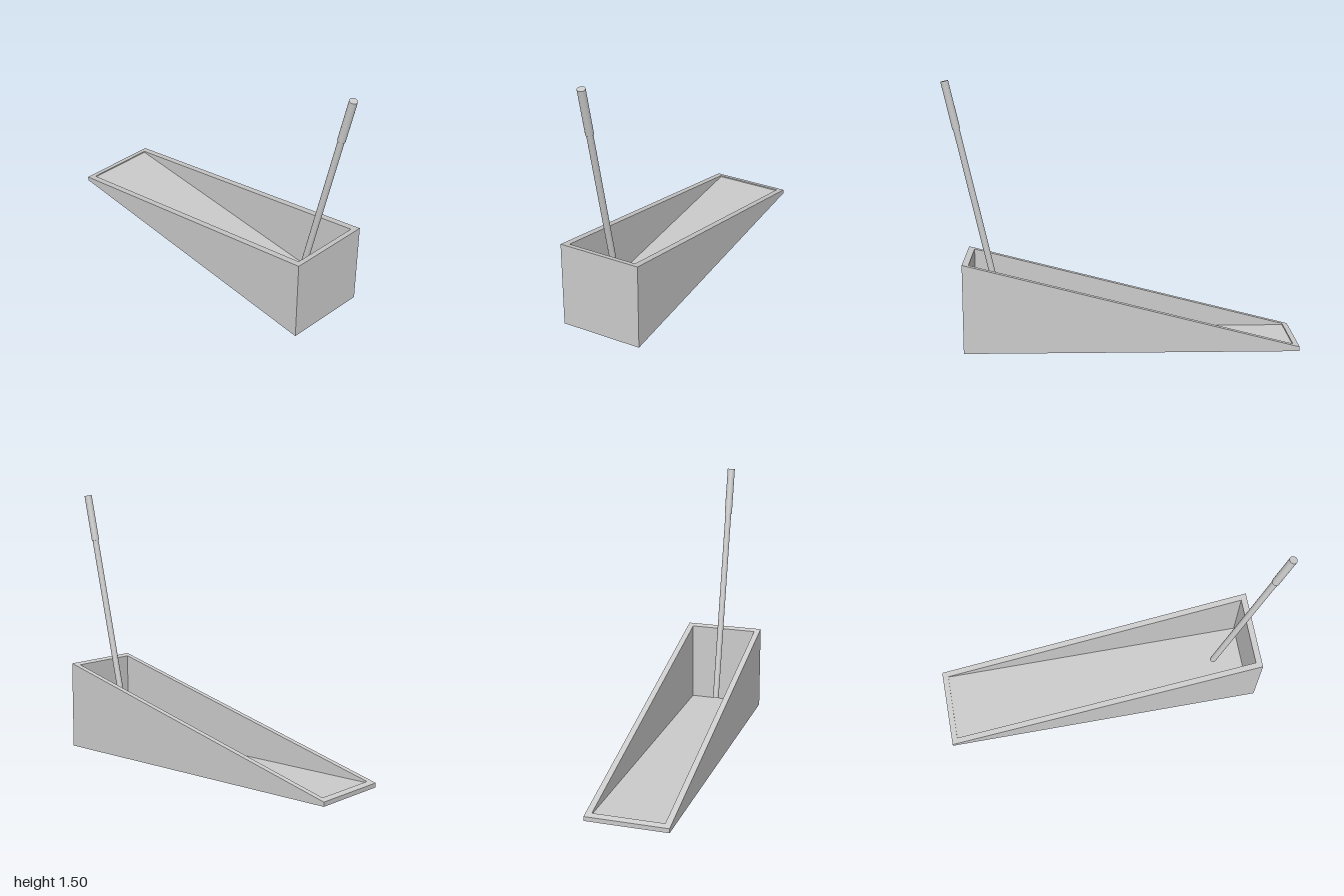
import * as THREE from 'three';

const grey = new THREE.MeshStandardMaterial({ color: 0xcccccc });

function addMesh(parent, name, geometry) {
  const mesh = new THREE.Mesh(geometry, grey);
  mesh.name = name;
  parent.add(mesh);
  return mesh;
}

function rectangle(path, x0, x1, halfZ) {
  path.moveTo(x0, -halfZ);
  path.lineTo(x1, -halfZ);
  path.lineTo(x1, halfZ);
  path.lineTo(x0, halfZ);
  path.closePath();
  return path;
}

export function createModel() {
  const model = new THREE.Group();
  model.name = 'scoopPan';

  const back = -1, front = 0.88, halfWidth = 0.234, wall = 0.034, floorHeight = 0.026;
  const rimHeight = (x) => THREE.MathUtils.mapLinear(x, back, front, 0.025, 0.508);

  // Four walls: a rectangular ring whose top edge is sloped into a wedge
  const ring = rectangle(new THREE.Shape(), back, front, halfWidth);
  ring.holes.push(rectangle(new THREE.Path(), back + wall, front - wall, halfWidth - wall));
  const walls = new THREE.ExtrudeGeometry(ring, { depth: 1, bevelEnabled: false });
  walls.rotateX(-Math.PI / 2);
  const p = walls.attributes.position;
  for (let i = 0; i < p.count; i++) p.setY(i, p.getY(i) > 0.5 ? rimHeight(p.getX(i)) : 0);
  walls.computeVertexNormals();
  addMesh(model, 'panWalls', walls);

  // Flat floor inside the walls
  const floor = new THREE.BoxGeometry(front - back - 2 * wall, floorHeight, 2 * (halfWidth - wall));
  floor.translate((front + back) / 2, floorHeight / 2, 0);
  addMesh(model, 'panFloor', floor);

  // Leaning handle: a thin rod with a thicker grip at the top
  const bottom = new THREE.Vector3(0.662, 0.1, 0.005);
  const top = new THREE.Vector3(0.974, 1.498, 0.005);
  const direction = top.clone().sub(bottom);
  const length = direction.length();
  const gripLength = 0.275;

  const handle = new THREE.Group();
  handle.name = 'handle';
  handle.position.copy(bottom);
  handle.quaternion.setFromUnitVectors(new THREE.Vector3(0, 1, 0), direction.normalize());
  const rodLength = length - gripLength;
  addMesh(handle, 'rod', new THREE.CylinderGeometry(0.018, 0.018, rodLength, 32)).position.y = rodLength / 2;
  addMesh(handle, 'grip', new THREE.CylinderGeometry(0.022, 0.022, gripLength, 32)).position.y = length - gripLength / 2;
  model.add(handle);

  return model;
}
